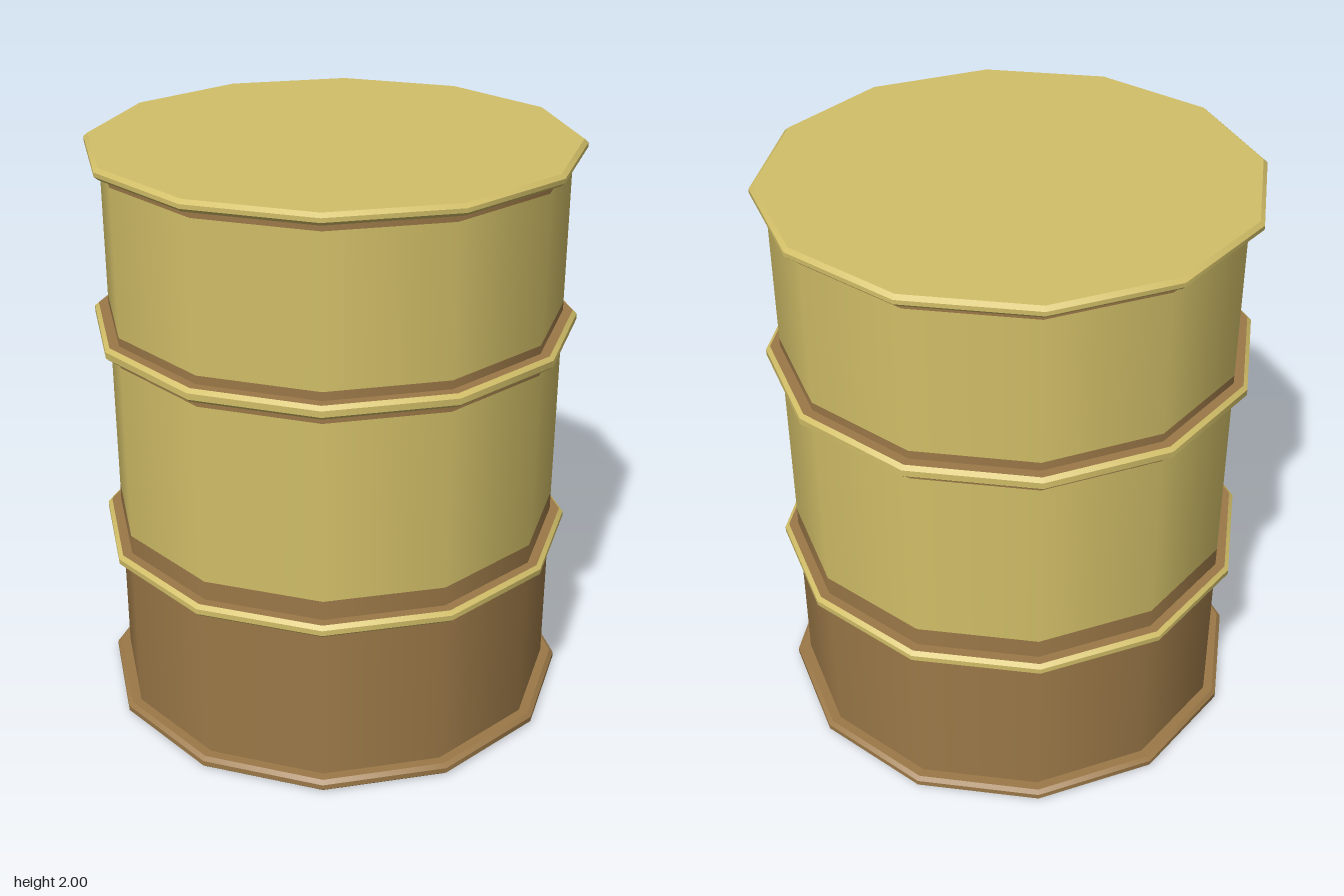
import * as THREE from 'three';

const SIDES = 12;
const BODY = 0.775, LIP = 0.808, RIM = 0.822;

export function createModel() {
  const yellow = new THREE.MeshStandardMaterial({ color: 0xd2bf68 });
  yellow.name = 'faded yellow paint';
  const rust = new THREE.MeshStandardMaterial({ color: 0x9c7948 });
  rust.name = 'brown rust';

  const barrel = new THREE.Group();
  barrel.name = 'barrel';

  // One strip of the outline turned round the axis: smooth around, sharp at its edges
  function strip(parent, name, material, r0, y0, r1, y1) {
    const points = [new THREE.Vector2(r0, y0), new THREE.Vector2(r1, y1)];
    const mesh = new THREE.Mesh(new THREE.LatheGeometry(points, SIDES), material);
    mesh.name = name;
    parent.add(mesh);
  }

  // Hoop with bevelled edges; the flat undersides are always rusty
  function hoop(name, y0, y1, rim, top) {
    const group = new THREE.Group();
    group.name = name;
    const b = 0.012;
    strip(group, 'hoopUnderside', rust, BODY, y0, LIP, y0);
    strip(group, 'hoopLowerBevel', rim, LIP, y0, RIM, y0 + b);
    strip(group, 'hoopRim', rim, RIM, y0 + b, RIM, y1 - b);
    strip(group, 'hoopUpperBevel', rim, RIM, y1 - b, LIP, y1);
    strip(group, 'hoopTop', top, LIP, y1, BODY, y1);
    barrel.add(group);
  }

  // Flat ends
  strip(barrel, 'bottom', rust, 0, 0, BODY, 0);
  strip(barrel, 'lid', yellow, BODY, 2, 0, 2);

  // Hoops
  hoop('bottomHoop', 0, 0.042, rust, rust);
  hoop('lowerHoop', 0.603, 0.645, yellow, rust);
  hoop('upperHoop', 1.363, 1.408, yellow, rust);
  hoop('topHoop', 1.962, 2, yellow, yellow);

  // Wall: rusty bottom third, yellow above with rust beside each hoop
  const wall = [
    ['lowerWall', rust, 0.042, 0.603],
    ['rustAboveLowerHoop', rust, 0.645, 0.712],
    ['middleWall', yellow, 0.712, 1.333],
    ['rustBelowUpperHoop', rust, 1.333, 1.363],
    ['rustAboveUpperHoop', rust, 1.408, 1.437],
    ['upperWall', yellow, 1.437, 1.934],
    ['rustBelowTopHoop', rust, 1.934, 1.962],
  ];
  for (const [name, material, y0, y1] of wall) strip(barrel, name, material, BODY, y0, BODY, y1);

  return barrel;
}
